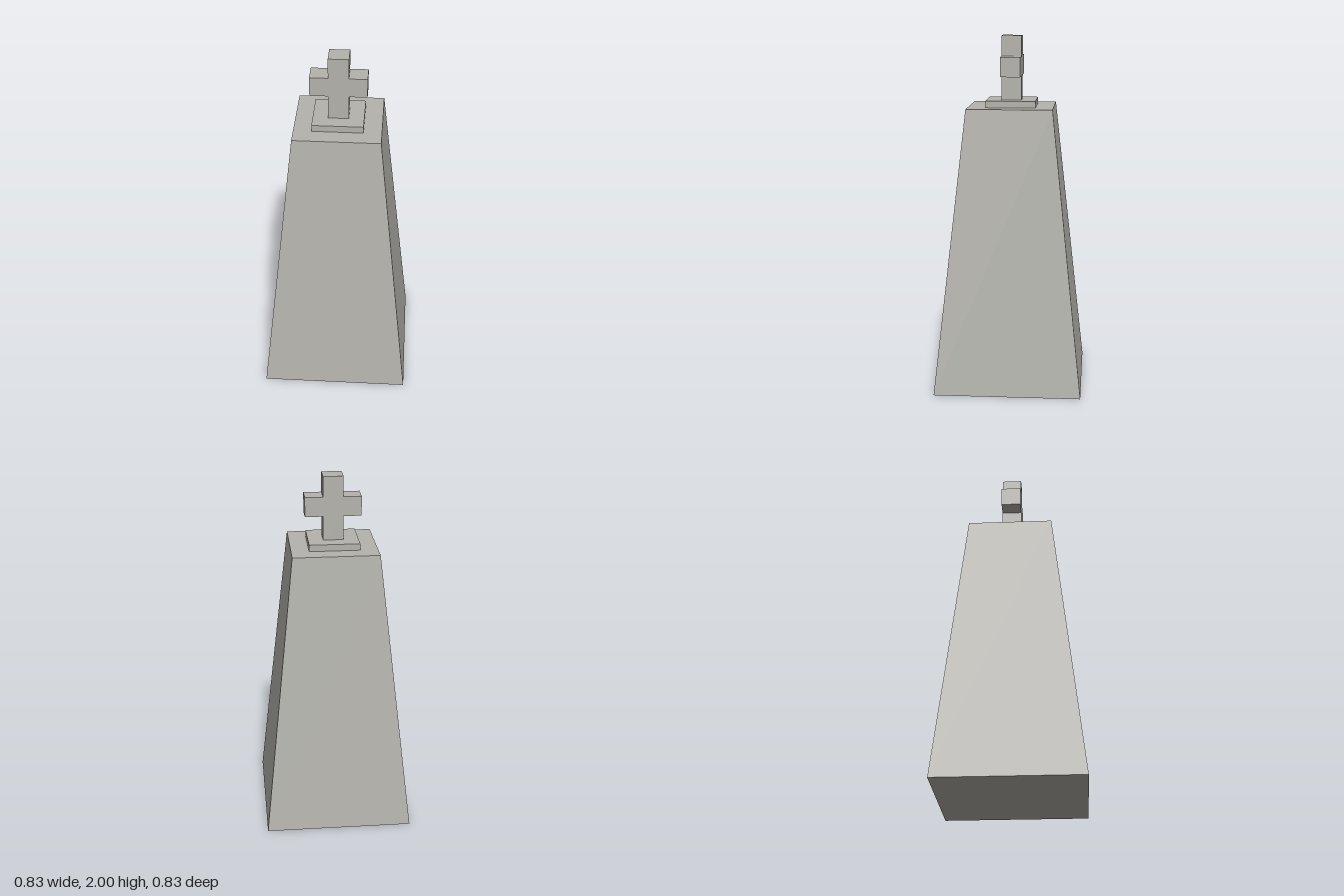
import * as THREE from 'three';

export function createModel() {
  const model = new THREE.Group();
  const stone = new THREE.MeshStandardMaterial({ color: 0xb4b3ac });
  stone.name = 'pale grey stone';

  function add(name, geometry, y) {
    const mesh = new THREE.Mesh(geometry, stone);
    mesh.name = name;
    mesh.position.y = y;
    model.add(mesh);
  }

  // Tapered square pillar: a box whose top corners are drawn inward
  const height = 1.603, base = 0.828, taper = 0.482 / base;
  const pillar = new THREE.BoxGeometry(base, height, base);
  const p = pillar.attributes.position;
  for (let i = 0; i < p.count; i++) {
    if (p.getY(i) > 0) p.setXYZ(i, p.getX(i) * taper, p.getY(i), p.getZ(i) * taper);
  }
  pillar.computeVertexNormals();
  add('pillar', pillar, height / 2);

  // Square plinth under the cross
  add('plinth', new THREE.BoxGeometry(0.282, 0.037, 0.282), height + 0.0185);

  // Cross as one extruded outline: a = half thickness, w = half span
  const a = 0.0565, w = 0.157, foot = 1.64, armLow = 1.775, armHigh = 1.885, top = 2;
  const half = [[a, foot], [a, armLow], [w, armLow], [w, armHigh], [a, armHigh], [a, top]];
  const mirrored = half.map(([x, y]) => [-x, y]).reverse();
  const outline = new THREE.Shape([...half, ...mirrored].map(([x, y]) => new THREE.Vector2(x, y)));
  const cross = new THREE.ExtrudeGeometry(outline, { depth: 2 * a, bevelEnabled: false });
  cross.translate(0, 0, -a);
  add('cross', cross, 0);

  return model;
}
